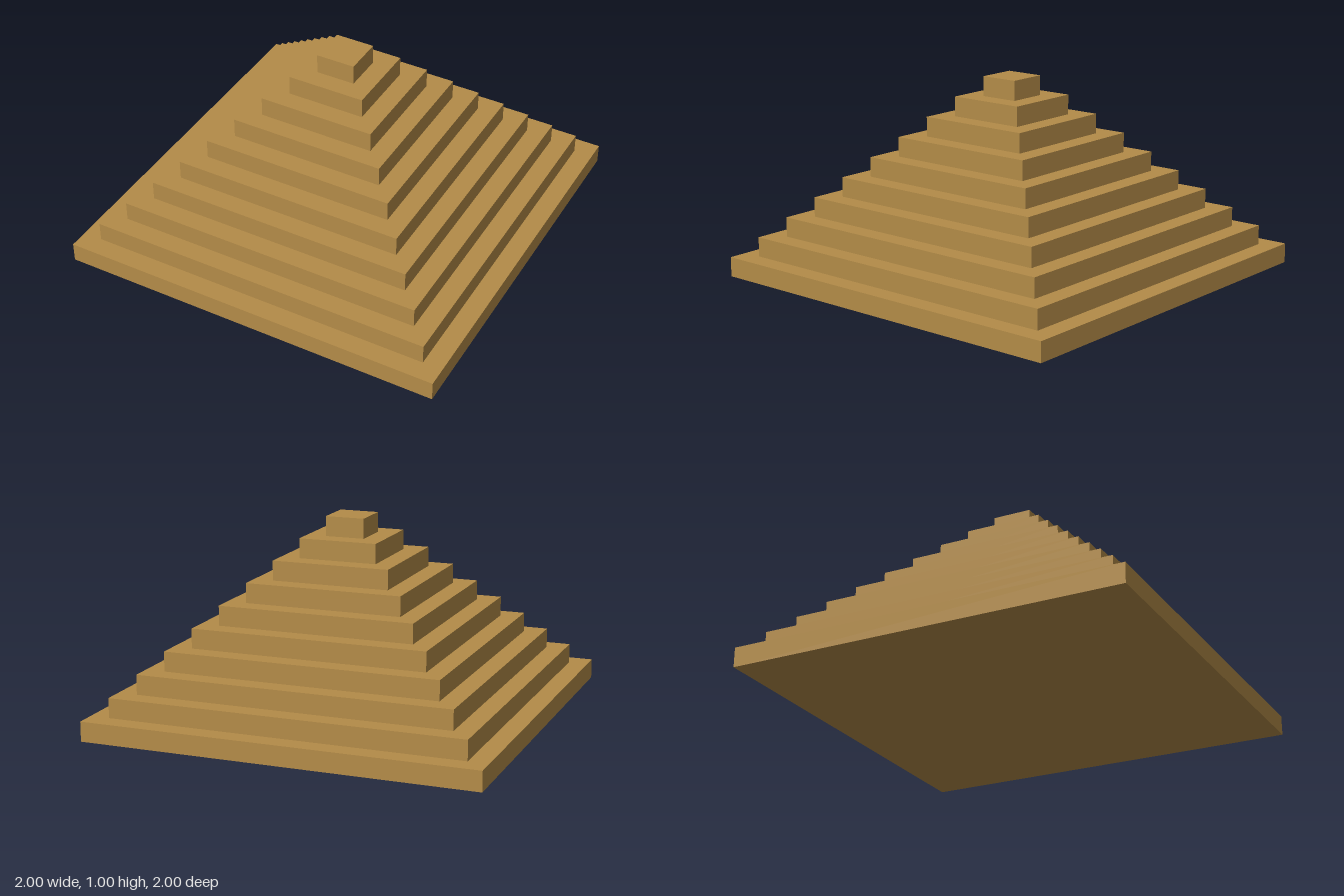
import * as THREE from 'three';

const TIERS = 10;
const STEP = 0.1; // height of a tier, and how far each one is set back

export function createModel() {
  const pyramid = new THREE.Group();
  pyramid.name = 'steppedPyramid';
  const sandstone = new THREE.MeshStandardMaterial({ color: 0xb48c48 });

  // Square tiers, stacked from the widest up to the cap
  for (let i = 0; i < TIERS; i++) {
    const width = 2 * STEP * (TIERS - i);
    const tier = new THREE.Mesh(new THREE.BoxGeometry(width, STEP, width), sandstone);
    tier.name = i === TIERS - 1 ? 'capTier' : `tier${i + 1}`;
    tier.position.y = STEP * (i + 0.5);
    pyramid.add(tier);
  }
  return pyramid;
}
